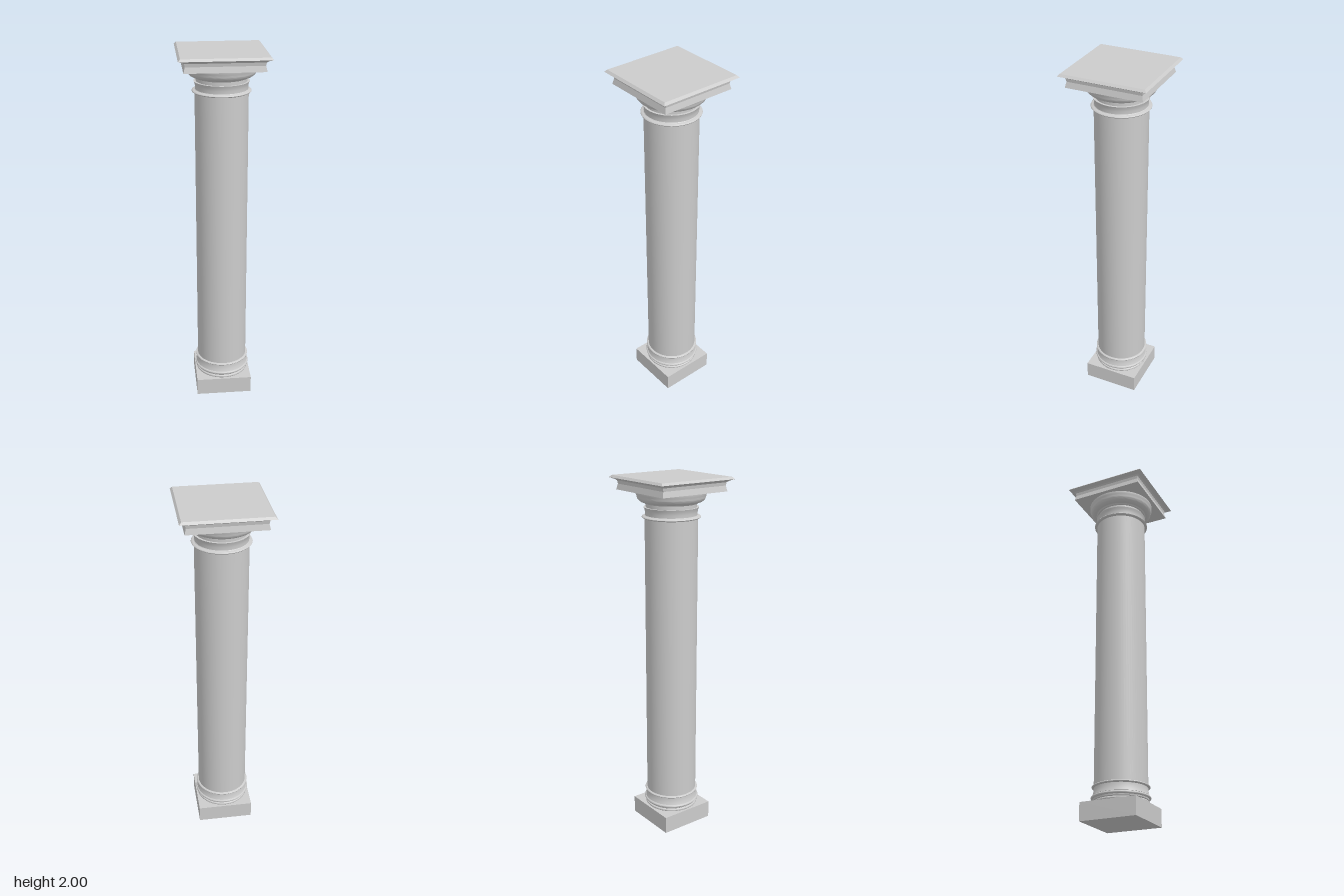
import * as THREE from 'three';
import { toCreasedNormals } from 'three/addons/utils/BufferGeometryUtils.js';

const material = new THREE.MeshStandardMaterial({ color: 0xcccccc });

// Turned part from a bottom-to-top profile of [radius, height]
function turned(name, profile) {
  const points = profile.map(([r, y]) => new THREE.Vector2(r, y));
  const geometry = toCreasedNormals(new THREE.LatheGeometry(points, 64), 0.6);
  const mesh = new THREE.Mesh(geometry, material);
  mesh.name = name;
  return mesh;
}

// Square moulding from a profile of [half width, height]
function squareMoulding(name, profile) {
  const points = profile.map(([w, y]) => new THREE.Vector2(w * Math.SQRT2, y));
  const geometry = new THREE.LatheGeometry(points, 4).rotateY(Math.PI / 4);
  const mesh = new THREE.Mesh(toCreasedNormals(geometry, 0.1), material);
  mesh.name = name;
  return mesh;
}

// Half-round bead as profile points
function bead(r, y, depth, halfHeight) {
  const points = [];
  for (let i = 0; i <= 8; i++) {
    const a = -Math.PI / 2 + (i / 8) * Math.PI;
    points.push([r + depth * Math.cos(a), y + halfHeight * Math.sin(a)]);
  }
  return points;
}

// Curved flare between two points, as a quarter ellipse bulging outward
function echinusCurve(r0, y0, r1, y1) {
  const points = [];
  for (let i = 0; i <= 10; i++) {
    const a = (i / 10) * Math.PI / 2;
    points.push([r0 + (r1 - r0) * Math.sin(a), y1 - (y1 - y0) * Math.cos(a)]);
  }
  return points;
}

export function createModel() {
  const column = new THREE.Group();
  column.name = 'column';

  // Square foot
  column.add(squareMoulding('plinth', [[0, 0], [0.158, 0], [0.158, 0.098], [0, 0.098]]));

  // Moulded base: small bead, torus ring, flared hollow, upper ring
  column.add(turned('base', [
    [0.142, 0.096],
    ...bead(0.142, 0.106, 0.008, 0.008),
    [0.147, 0.118],
    ...bead(0.148, 0.133, 0.009, 0.008),
    [0.15, 0.142], [0.146, 0.153], [0.143, 0.168], [0.142, 0.182],
    ...bead(0.142, 0.19, 0.011, 0.006),
  ]));

  // Plain round shaft
  column.add(turned('shaft', [[0.142, 0.19], [0.142, 1.79]]));

  // Ring and neck under the capital
  column.add(turned('neck', [
    ...bead(0.142, 1.79, 0.015, 0.007),
    [0.139, 1.8], [0.139, 1.815], [0.142, 1.83], [0.147, 1.842], [0.135, 1.842],
  ]));

  // Flared round capital
  column.add(turned('capital', [
    [0.135, 1.84], [0.135, 1.862], [0.143, 1.862],
    ...echinusCurve(0.148, 1.868, 0.184, 1.905),
    [0.187, 1.91], [0.187, 1.926],
  ]));

  // Square slab with a notched edge and bevelled lip
  column.add(squareMoulding('abacus', [
    [0, 1.925], [0.208, 1.925], [0.201, 1.955], [0.204, 1.972],
    [0.212, 1.979], [0.235, 1.988], [0.224, 2], [0, 2],
  ]));

  return column;
}
